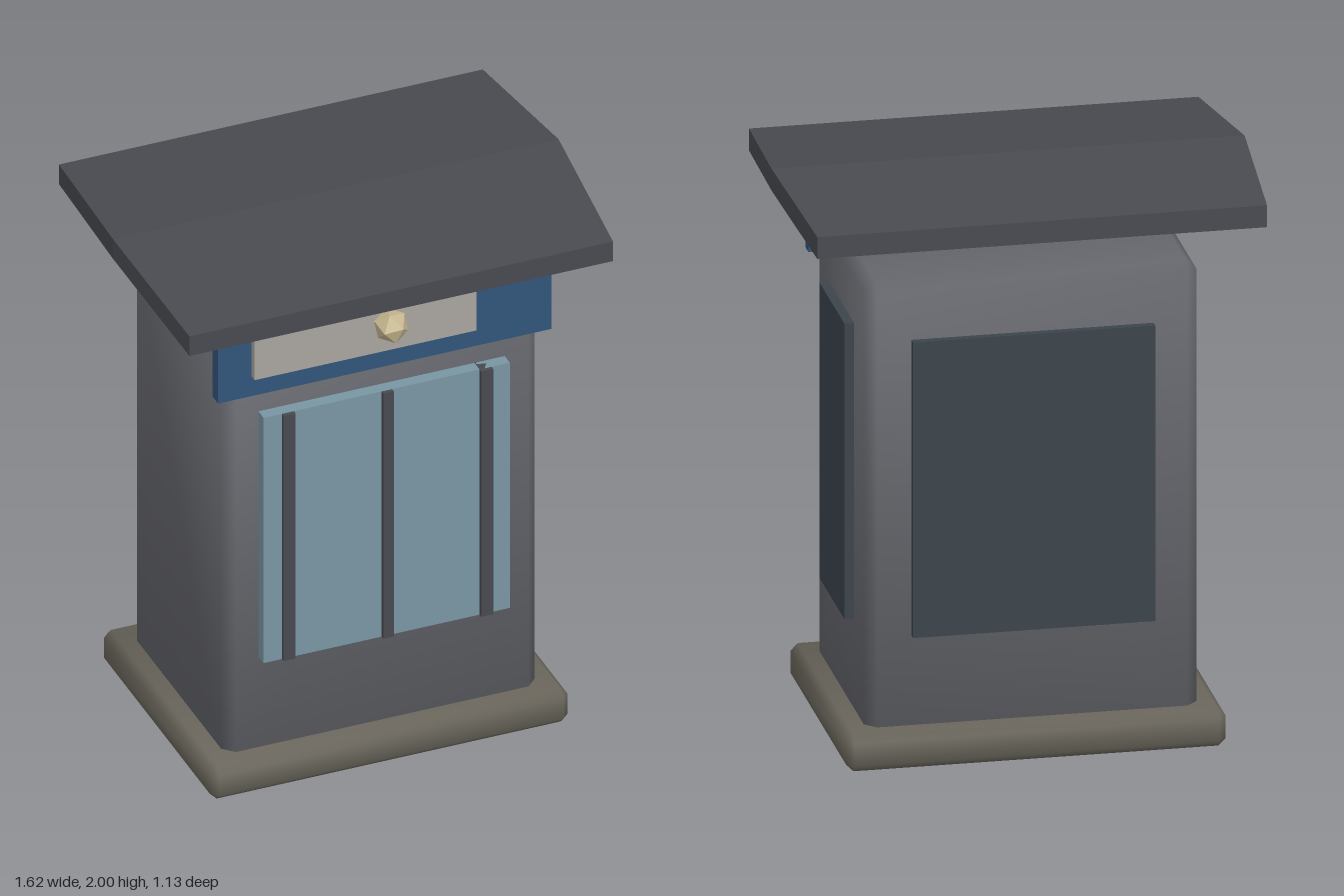
import * as THREE from 'three';
import { ConvexGeometry } from 'three/addons/geometries/ConvexGeometry.js';

const material = (color) => new THREE.MeshStandardMaterial({ color });

// Box given by its extents on each axis
function slab(name, [x0, x1], [y0, y1], [z0, z1], mat) {
  const mesh = new THREE.Mesh(new THREE.BoxGeometry(x1 - x0, y1 - y0, z1 - z0), mat);
  mesh.position.set((x0 + x1) / 2, (y0 + y1) / 2, (z0 + z1) / 2);
  mesh.name = name;
  return mesh;
}

// Box with chamfered edges and softly blended normals
function chamferedBox(name, width, y0, y1, depth, bevel, mat) {
  const half = [width / 2, (y1 - y0) / 2, depth / 2];
  const points = [];
  for (const sx of [-1, 1]) for (const sy of [-1, 1]) for (const sz of [-1, 1]) {
    const sign = [sx, sy, sz];
    for (let axis = 0; axis < 3; axis++) {
      points.push(new THREE.Vector3(...half.map((h, i) => sign[i] * (i === axis ? h : h - bevel))));
    }
  }
  const geometry = new ConvexGeometry(points);
  const pos = geometry.attributes.position;
  const normal = new THREE.Vector3();
  for (let i = 0; i < pos.count; i++) {
    const p = [pos.getX(i), pos.getY(i), pos.getZ(i)];
    normal.set(...p.map((v, k) => Math.sign(v) * (Math.abs(v) > half[k] - bevel / 2 ? 1 : 0.39)));
    normal.normalize();
    geometry.attributes.normal.setXYZ(i, normal.x, normal.y, normal.z);
  }
  const mesh = new THREE.Mesh(geometry, mat);
  mesh.position.y = (y0 + y1) / 2;
  mesh.name = name;
  return mesh;
}

// Shallow gable roof: an extruded profile that narrows towards both eaves
function createRoof(mat) {
  const profile = new THREE.Shape([
    [-0.57, 1.86], [0, 1.922], [0.565, 1.877], [0.565, 1.955], [0, 2], [-0.57, 1.938],
  ].map(([u, y]) => new THREE.Vector2(u, y)));
  const geometry = new THREE.ExtrudeGeometry(profile, { depth: 2, bevelEnabled: false });
  geometry.translate(0, 0, -1);
  geometry.rotateY(Math.PI / 2);
  // the profile's u axis now runs along -z, so its first points lie at the front
  const pos = geometry.attributes.position;
  for (let i = 0; i < pos.count; i++) {
    pos.setX(i, pos.getX(i) * (0.81 - 0.04 * Math.abs(pos.getZ(i)) / 0.57));
  }
  geometry.computeVertexNormals();
  const roof = new THREE.Mesh(geometry, mat);
  roof.name = 'roof';
  return roof;
}

export function createModel() {
  const model = new THREE.Group();
  model.name = 'kiosk';
  const dark = material(0x484a50);
  const sidePanel = material(0x3b444c);

  // Plinth and cabin
  model.add(chamferedBox('base', 1.3, 0, 0.13, 0.97, 0.025, material(0x68645a)));
  model.add(chamferedBox('body', 1.14, 0.05, 1.71, 0.81, 0.038, material(0x64656b)));
  model.add(createRoof(dark));

  // Front window with three mullions
  const front = new THREE.Group();
  front.name = 'frontWindow';
  front.add(slab('glass', [-0.45, 0.445], [0.49, 1.465], [0.39, 0.45], material(0x7896a3)));
  for (const x of [-0.362, -0.002, 0.357]) {
    const w = x > -0.1 && x < 0.1 ? 0.019 : 0.022;
    front.add(slab('mullion', [x - w, x + w], [0.49, 1.465], [0.39, 0.465], dark));
  }
  model.add(front);

  // Panels on one side and on the back
  model.add(slab('sidePanel', [0.55, 0.603], [0.45, 1.505], [-0.205, 0.205], sidePanel));
  model.add(slab('backPanel', [-0.415, 0.415], [0.45, 1.505], [-0.433, -0.39], sidePanel));

  // Sign board with a blank plate and a faceted lamp
  model.add(slab('signBoard', [-0.608, 0.604], [1.55, 1.873], [0.385, 0.432], material(0x31547a)));
  model.add(slab('signPlate', [-0.487, 0.32], [1.63, 1.79], [0.42, 0.46], material(0xa8a49e)));
  const lampMaterial = material(0xc4b68e);
  lampMaterial.flatShading = true;
  const lamp = new THREE.Mesh(new THREE.IcosahedronGeometry(0.062, 0), lampMaterial);
  lamp.name = 'lamp';
  lamp.position.set(-0.005, 1.75, 0.495);
  lamp.rotation.set(0.35, 0.2, -0.3);
  model.add(lamp);

  return model;
}
